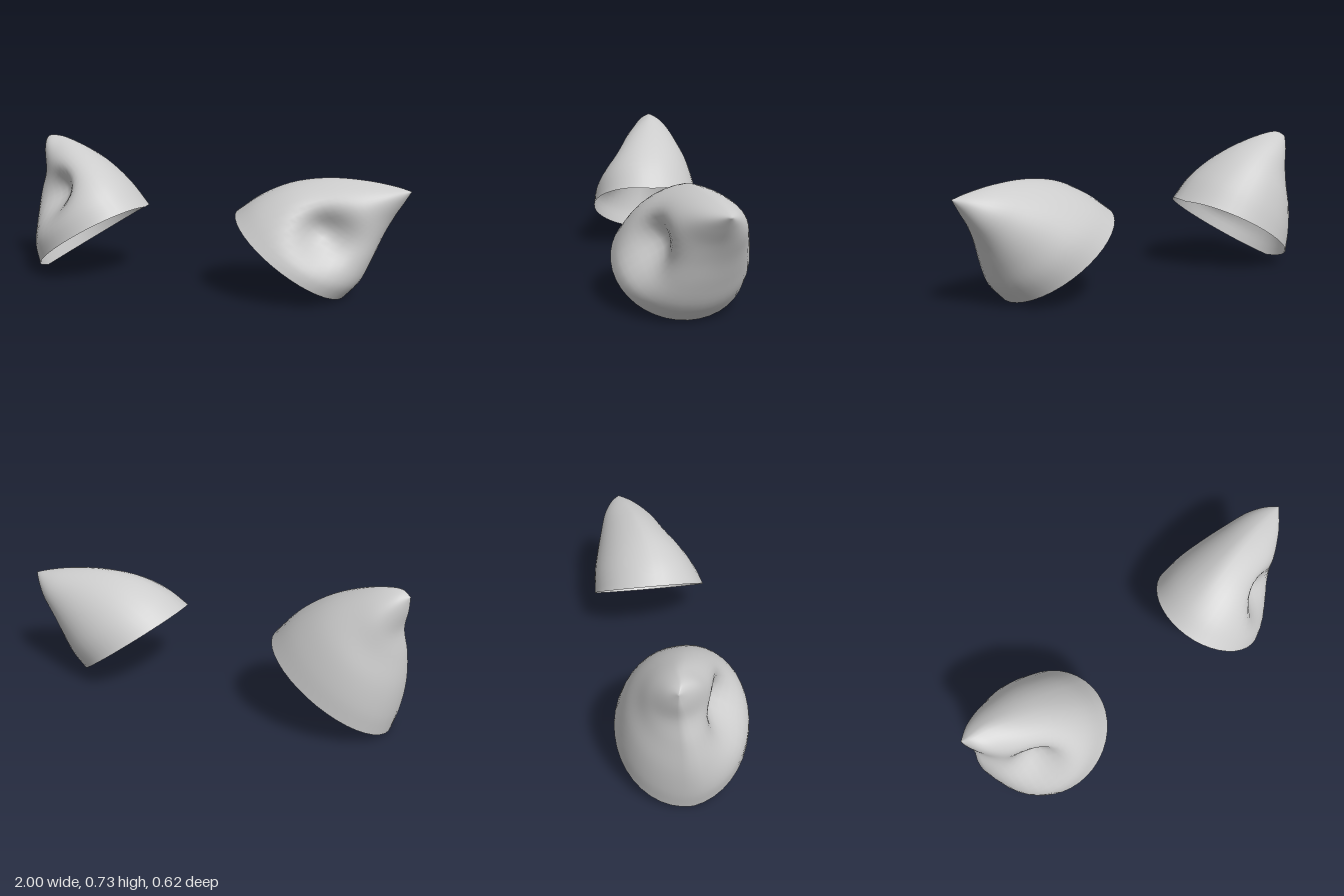
import * as THREE from 'three';

const AROUND = 40, ROWS = 28;
const V = (p) => new THREE.Vector3(...p);

// Hollow ear lofted through four guide lines (inner, front, outer, back) running from rim to tip,
// with a soft pocket pressed into the front face.
function makeEar(name, side, guides, tip, pocket) {
  const lines = {};
  for (const key in guides) {
    lines[key] = new THREE.CatmullRomCurve3([...guides[key], tip].map(V));
  }
  const centre = V(pocket.centre);
  const push = V(pocket.push);
  const positions = [], index = [];
  for (let j = 0; j < ROWS; j++) {
    const t = 1 - Math.pow(1 - j / ROWS, 1.15);
    const I = lines.inner.getPoint(t), O = lines.outer.getPoint(t);
    const F = lines.front.getPoint(t), B = lines.back.getPoint(t);
    const mid = I.clone().add(O).multiplyScalar(0.5);
    const half = I.clone().sub(mid);
    for (let i = 0; i < AROUND; i++) {
      const a = (i / AROUND) * Math.PI * 2 * side;
      const s = Math.sin(a);
      const p = mid.clone().addScaledVector(half, Math.cos(a))
        .addScaledVector((s >= 0 ? F : B).clone().sub(mid), Math.abs(s));
      // pocket fades out at the rim and only affects the front
      if (s > 0) {
        const d = p.distanceTo(centre) / pocket.radius;
        p.addScaledVector(push, Math.exp(-d * d) * Math.min(1, t * 6) * Math.min(1, s * 2));
      }
      positions.push(p.x, p.y, p.z);
    }
  }
  positions.push(...tip);
  const last = ROWS * AROUND;
  for (let j = 0; j < ROWS; j++) {
    for (let i = 0; i < AROUND; i++) {
      const n = (i + 1) % AROUND;
      const a = j * AROUND + i, b = j * AROUND + n;
      if (j === ROWS - 1) index.push(a, b, last);
      else index.push(a, b, b + AROUND, a, b + AROUND, a + AROUND);
    }
  }
  const geometry = new THREE.BufferGeometry();
  geometry.setAttribute('position', new THREE.Float32BufferAttribute(positions, 3));
  geometry.setIndex(index);
  geometry.computeVertexNormals();
  const mesh = new THREE.Mesh(geometry,
    new THREE.MeshStandardMaterial({ color: 0xcccccc, side: THREE.DoubleSide }));
  mesh.name = name;
  return mesh;
}

export function createModel() {
  const group = new THREE.Group();
  group.name = 'ears';

  // Left ear, drooping outwards
  group.add(makeEar('leftEar', 1, {
    inner: [[0.18, 0.4, 0], [0.3, 0.485, 0], [0.45, 0.55, -0.02], [0.62, 0.575, -0.05],
      [0.8, 0.565, -0.08], [0.93, 0.54, -0.1]],
    front: [[0.45, 0.205, 0.305], [0.53, 0.27, 0.27], [0.61, 0.34, 0.22], [0.71, 0.41, 0.14],
      [0.82, 0.46, 0.06], [0.92, 0.495, -0.02]],
    outer: [[0.72, 0.01, 0], [0.79, 0.09, 0], [0.84, 0.2, -0.02], [0.88, 0.31, -0.05],
      [0.92, 0.39, -0.08], [0.965, 0.46, -0.1]],
    back: [[0.45, 0.205, -0.31], [0.55, 0.275, -0.3], [0.65, 0.34, -0.275], [0.77, 0.41, -0.24],
      [0.88, 0.465, -0.205], [0.95, 0.5, -0.16]],
  }, [1, 0.52, -0.11], { centre: [0.67, 0.32, 0.18], radius: 0.12, push: [-0.06, 0.01, -0.11] }));

  // Right ear, more upright
  group.add(makeEar('rightEar', -1, {
    inner: [[-0.34, 0.375, 0], [-0.45, 0.5, 0], [-0.6, 0.615, -0.02], [-0.75, 0.69, -0.04],
      [-0.87, 0.727, -0.06], [-0.95, 0.728, -0.065]],
    front: [[-0.63, 0.235, 0.305], [-0.69, 0.33, 0.285], [-0.74, 0.43, 0.22], [-0.8, 0.52, 0.15],
      [-0.87, 0.6, 0.07], [-0.94, 0.67, 0]],
    outer: [[-0.95, 0.005, 0], [-0.98, 0.12, 0], [-1, 0.28, -0.02], [-0.993, 0.43, -0.04],
      [-0.972, 0.55, -0.06], [-0.985, 0.64, -0.075]],
    back: [[-0.67, 0.21, -0.31], [-0.72, 0.31, -0.295], [-0.77, 0.42, -0.265], [-0.82, 0.52, -0.22],
      [-0.88, 0.6, -0.18], [-0.94, 0.67, -0.13]],
  }, [-0.987, 0.705, -0.08], { centre: [-0.8, 0.43, 0.17], radius: 0.12, push: [0.06, 0.01, -0.11] }));

  return group;
}
